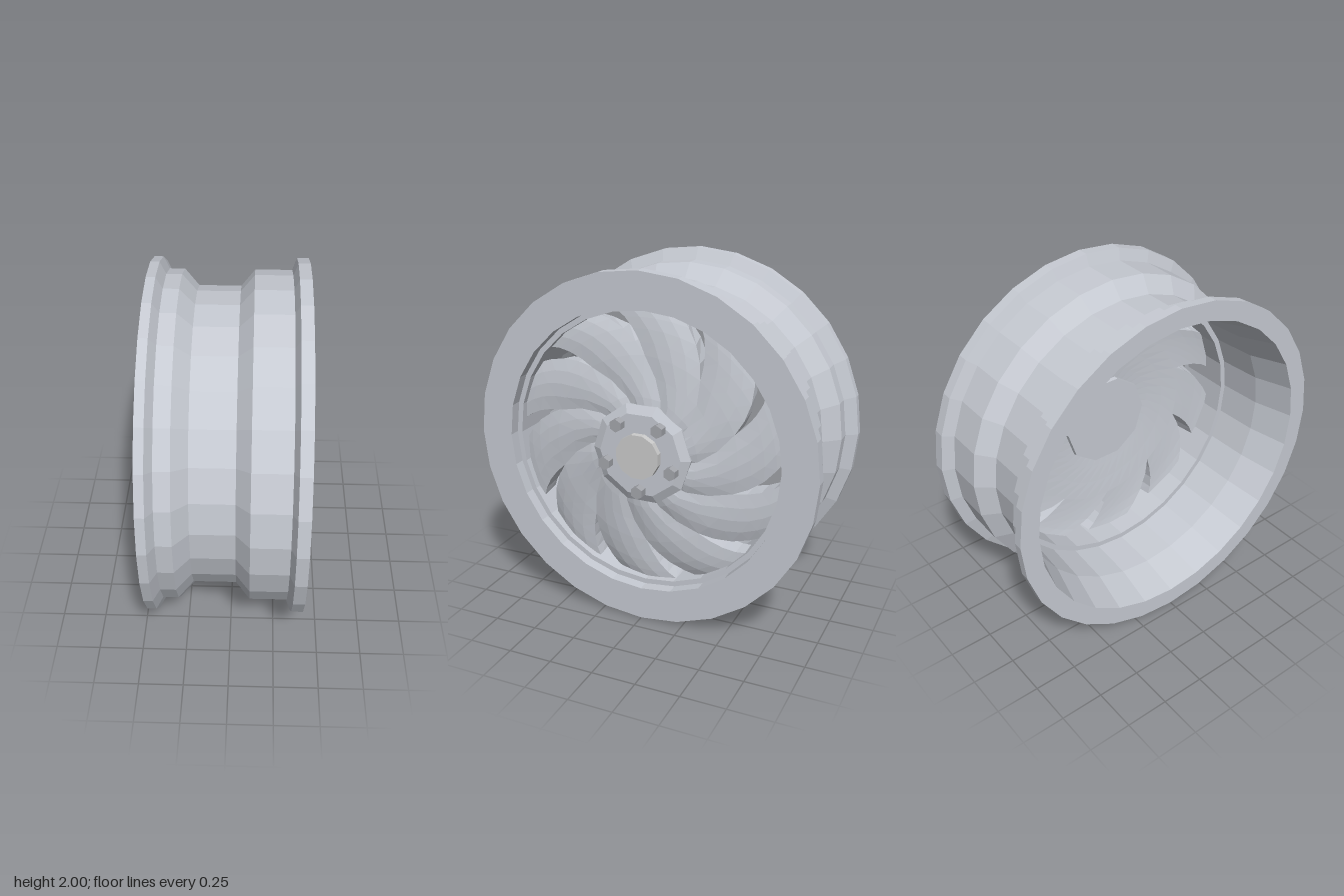
import * as THREE from 'three';

const metal = (color) => new THREE.MeshStandardMaterial({ color, flatShading: true });
const rimMetal = metal(0xc6cad2);
const boltMetal = metal(0xa4a6ac);
const capMetal = metal(0xfcfeff);

function add(group, name, geometry, material = rimMetal) {
  const mesh = new THREE.Mesh(geometry, material);
  mesh.name = name;
  group.add(mesh);
  return mesh;
}

// Solid of revolution around the x axis; profile points are [x, radius]
function turned(profile, sides, twist = 0) {
  const points = profile.map(([x, r]) => new THREE.Vector2(r, x));
  return new THREE.LatheGeometry(points, sides).rotateY(twist).rotateZ(-Math.PI / 2);
}

// Rows of one swept blade: radius, start angle, end angle (degrees), front x, back x
const BLADE_ROWS = [
  [0.22, -27, 9, 0.375, 0.21],
  [0.32, -19, 17, 0.367, 0.20],
  [0.43, -9, 27, 0.353, 0.19],
  [0.54, 0, 36, 0.34, 0.18],
  [0.61, 5.5, 39, 0.33, 0.175],
  [0.68, 11.5, 42.3, 0.32, 0.17],
  [0.74, 17.5, 45.7, 0.31, 0.165],
  [0.79, 22.5, 49.3, 0.30, 0.16],
];

// Thick blade from cross-section loops: front edge points, then back edge points
function bladeGeometry() {
  const cols = 4, loop = 2 * (cols + 1);
  const positions = [], index = [];
  for (const [r, a0, a1, front, back] of BLADE_ROWS) {
    // Beyond the joined centre the blade tilts and its back narrows
    const free = Math.max(0, (r - 0.54) / 0.25);
    for (let j = 0; j < loop; j++) {
      const isFront = j <= cols;
      const t = (isFront ? j : loop - 1 - j) / cols;
      const shift = isFront ? 0 : free * (5 - 6 * t);
      const a = THREE.MathUtils.degToRad(a0 + (a1 - a0) * t + shift);
      const tilt = (t - 0.5) * 0.02 * free;
      // Shallow valleys where neighbouring blades meet
      const valley = isFront ? 0.015 * (2 * t - 1) ** 2 : 0;
      positions.push((isFront ? front : back) + tilt - valley, r * Math.sin(a), -r * Math.cos(a));
    }
  }
  for (let i = 0; i < BLADE_ROWS.length - 1; i++) {
    for (let j = 0; j < loop; j++) {
      const k = (j + 1) % loop;
      const a = i * loop + j, b = i * loop + k, c = a + loop, d = b + loop;
      index.push(a, c, b, b, c, d);
    }
  }
  const geometry = new THREE.BufferGeometry();
  geometry.setAttribute('position', new THREE.Float32BufferAttribute(positions, 3));
  geometry.setIndex(index);
  geometry.computeVertexNormals();
  return geometry;
}

export function createModel() {
  const model = new THREE.Group();
  model.name = 'wheelRim';

  // Barrel with flanges, dropped centre and inner seat for the blades
  add(model, 'rimBarrel', turned([
    [-0.45, 0.89], [-0.45, 1], [-0.40, 1], [-0.365, 0.935], [-0.28, 0.935], [-0.20, 0.845],
    [0.035, 0.845], [0.11, 0.935], [0.315, 0.935], [0.34, 1], [0.405, 1], [0.405, 0.81],
    [0.34, 0.81], [0.34, 0.78], [0.035, 0.78], [0.035, 0.812], [-0.22, 0.828], [-0.45, 0.89],
  ], 28));

  // Ten swept blades
  const blade = bladeGeometry();
  for (let i = 0; i < 10; i++) {
    // Angles grow from -z towards +y, the positive turn about x
    add(model, 'blade', blade).rotation.x = THREE.MathUtils.degToRad(90 + 36 * i);
  }

  // Ten-sided hub with a bevelled face
  add(model, 'hub', turned([[0.18, 0], [0.18, 0.27], [0.375, 0.29], [0.40, 0.24], [0.40, 0]], 10));

  // Centre cap
  add(model, 'centreCap', turned([[0.39, 0.128], [0.435, 0.128], [0.435, 0]], 12, Math.PI / 12), capMetal);

  // Five hexagonal lug bolts
  const bolt = new THREE.CylinderGeometry(0.037, 0.037, 0.065, 6).rotateZ(-Math.PI / 2);
  for (let i = 0; i < 5; i++) {
    const a = -Math.PI / 2 + (i * Math.PI * 2) / 5;
    const mesh = add(model, 'lugBolt', bolt, boltMetal);
    mesh.position.set(0.4145, 0.205 * Math.sin(a), -0.205 * Math.cos(a));
    mesh.rotation.x = Math.PI / 6;
  }

  // Stand the wheel on the ground
  model.children.forEach((part) => { part.position.y += 1; });
  return model;
}
